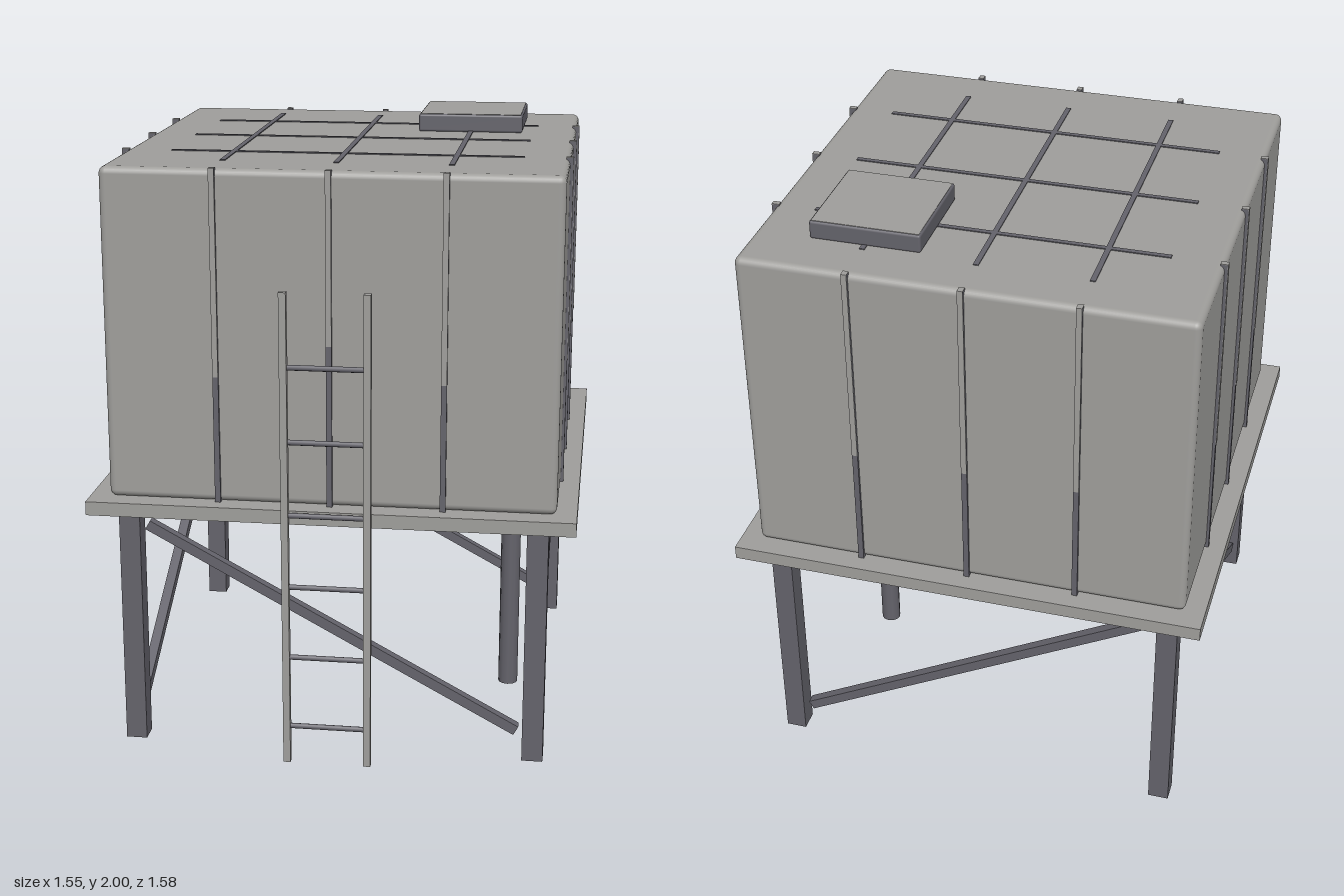
import * as THREE from 'three';
import { RoundedBoxGeometry } from 'three/addons/geometries/RoundedBoxGeometry.js';

export function createModel() {
  const model = new THREE.Group();
  model.name = 'waterTank';

  const paleSteel = new THREE.MeshStandardMaterial({ color: 0x9f9e9b });
  paleSteel.name = 'pale steel';
  const darkSteel = new THREE.MeshStandardMaterial({ color: 0x64636b });
  darkSteel.name = 'dark steel';

  const CZ = -0.013; // depth centre of tank and platform

  function add(name, geometry, material, x, y, z, parent = model) {
    const mesh = new THREE.Mesh(geometry, material);
    mesh.name = name;
    mesh.position.set(x, y, z);
    parent.add(mesh);
    return mesh;
  }
  const box = (name, w, h, d, material, x, y, z, parent) =>
    add(name, new THREE.BoxGeometry(w, h, d), material, x, y, z, parent);

  // Platform and tank body
  box('platform', 1.55, 0.045, 1.55, paleSteel, 0, 0.8575, -0.015);
  add('tankBody', new RoundedBoxGeometry(1.424, 1.06, 1.424, 3, 0.022), paleSteel, 0, 1.41, CZ);

  // Wall ribs: dark bars whose upper faces are pale
  const seams = [-0.357, 0, 0.357];
  for (let side = 0; side < 4; side++) {
    const wall = new THREE.Group();
    wall.name = 'wallRibs';
    wall.position.z = CZ;
    wall.rotation.y = side * Math.PI / 2;
    model.add(wall);
    for (const x of seams) {
      const split = side === 0 && x === 0 ? 1.4 : 1.29;
      box('rib', 0.018, 1.062, 0.022, darkSteel, x, 1.411, 0.71, wall);
      box('ribFace', 0.018, 1.942 - split, 0.002, paleSteel, x, (1.942 + split) / 2, 0.722, wall);
      box('ribCap', 0.018, 0.002, 0.024, paleSteel, x, 1.943, 0.711, wall);
    }
  }

  // Roof seams
  for (const s of seams) {
    box('roofSeamAcross', 1.13, 0.006, 0.017, darkSteel, s < 0 ? 0.015 : 0.005, 1.94, CZ + s);
    box('roofSeamAlong', 0.017, 0.006, 1.11, darkSteel, s, 1.94, CZ - 0.005);
  }

  // Hatch with a pale lid
  add('hatch', new RoundedBoxGeometry(0.354, 0.06, 0.354, 2, 0.008), darkSteel, 0.356, 1.969, -0.372);
  box('hatchLid', 0.342, 0.004, 0.342, paleSteel, 0.356, 1.998, -0.372);

  // Legs
  const LX = 0.655, FRONT = 0.645, BACK = -0.667;
  for (const x of [-LX, LX])
    for (const z of [BACK, FRONT])
      box('leg', 0.068, 0.81, 0.068, darkSteel, x, 0.435, z);

  // Diagonal braces, one on each side
  function brace(from, to) {
    const a = new THREE.Vector3(...from), b = new THREE.Vector3(...to);
    const mid = a.clone().lerp(b, 0.5);
    const bar = box('brace', 0.033, 0.033, a.distanceTo(b), darkSteel, mid.x, mid.y, mid.z);
    bar.lookAt(b);
  }
  for (const z of [BACK, FRONT]) brace([-0.6, 0.775, z], [0.6, 0.125, z]);
  for (const x of [-LX, LX]) brace([x, 0.775, -0.612], [x, 0.125, 0.592]);

  // Outlet pipe
  add('outletPipe', new THREE.CylinderGeometry(0.034, 0.034, 0.84, 12), darkSteel, 0.537, 0.42, -0.008);

  // Ladder
  const ladder = new THREE.Group();
  ladder.name = 'ladder';
  model.add(ladder);
  for (const x of [-0.13, 0.13])
    box('ladderRail', 0.023, 1.555, 0.023, paleSteel, x, 0.8075, 0.7785, ladder);
  for (let i = 0; i < 6; i++) {
    const rung = add('ladderRung', new THREE.CylinderGeometry(0.009, 0.009, 0.25, 8), darkSteel,
      0, 0.153 + i * 0.239, 0.775, ladder);
    rung.rotation.z = Math.PI / 2;
  }

  return model;
}
